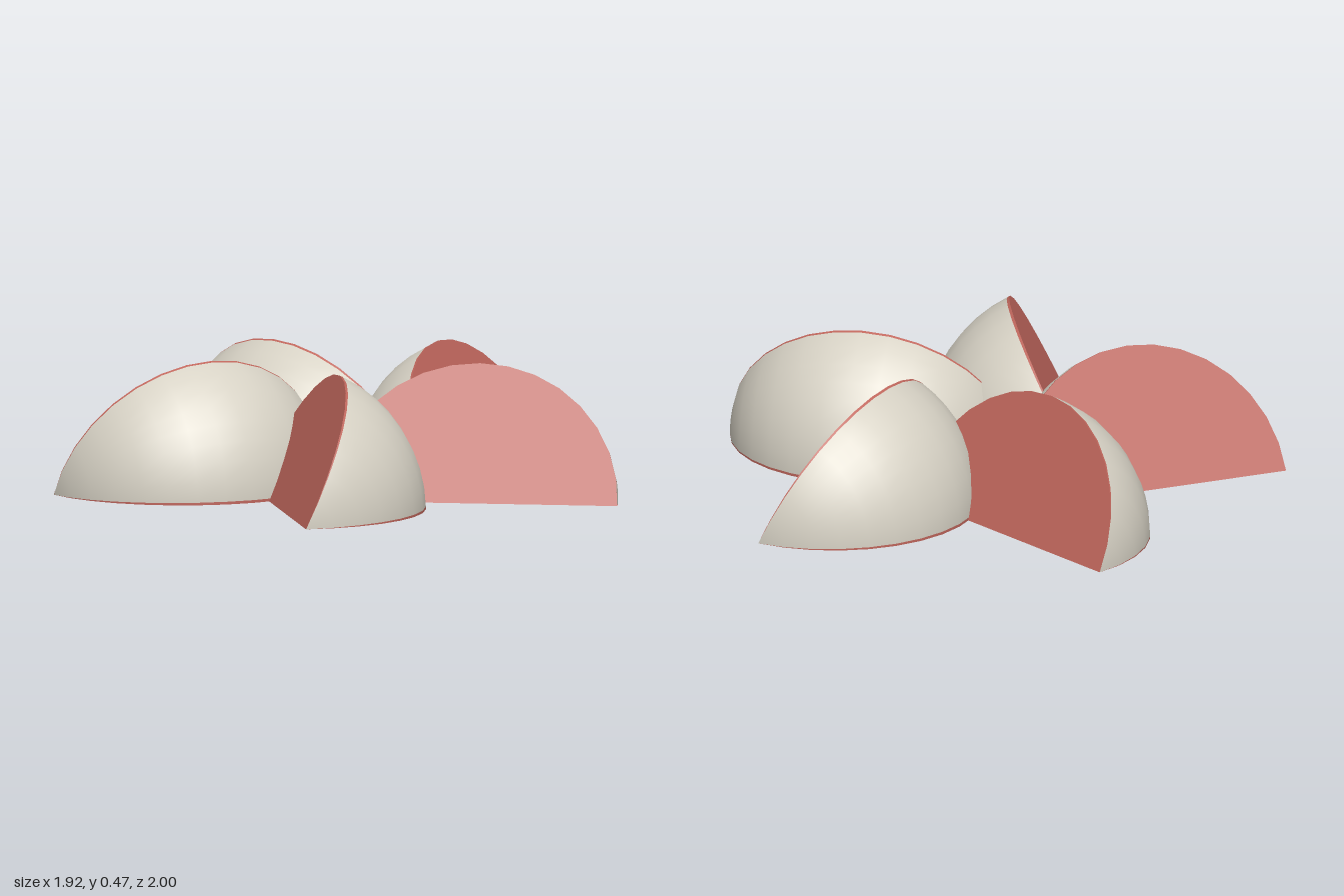
import * as THREE from 'three';
import { mergeGeometries } from 'three/addons/utils/BufferGeometryUtils.js';

const RADIUS = 0.515;
const ANGLE = THREE.MathUtils.degToRad(65); // opening of each wedge
const RIM = THREE.MathUtils.degToRad(1.1);  // narrow coloured edge of the shell
const SEGMENTS = 16;

// Band of a sphere around the z axis, from one angle above the floor to another
function band(from, to, columns) {
  return new THREE.SphereGeometry(RADIUS, columns, SEGMENTS, Math.PI + from, to - from)
    .rotateX(Math.PI / 2);
}

// Half disc hinged on the z axis, facing up or down
function halfDisc(up) {
  return new THREE.CircleGeometry(RADIUS, SEGMENTS, -Math.PI / 2, Math.PI)
    .rotateX(up ? -Math.PI / 2 : Math.PI / 2);
}

export function createModel() {
  const model = new THREE.Group();
  model.name = 'wedgeRing';

  const shellMaterial = new THREE.MeshStandardMaterial({ color: 0xd6d1c4 });
  shellMaterial.name = 'warm grey';
  const cutMaterial = new THREE.MeshStandardMaterial({ color: 0xbf665c });
  cutMaterial.name = 'brick red';

  // Rounded outside, and the flat cuts with their thin rims
  const shell = band(RIM, ANGLE - RIM, 8);
  const rims = mergeGeometries([band(0, RIM, 1), band(ANGLE - RIM, ANGLE, 1)]);
  const leaningCut = halfDisc(true).rotateZ(ANGLE);
  const base = halfDisc(false);

  const parts = [
    ['shell', shell, shellMaterial],
    ['rims', rims, cutMaterial],
    ['leaningCut', leaningCut, cutMaterial],
    ['base', base, cutMaterial],
  ];

  // Five equal wedges turned around a shared centre
  for (let i = 0; i < 5; i++) {
    const wedge = new THREE.Group();
    wedge.name = `wedge${i + 1}`;
    for (const [name, geometry, material] of parts) {
      const mesh = new THREE.Mesh(geometry, material);
      mesh.name = name;
      mesh.position.set(-0.338, 0, 0.48);
      wedge.add(mesh);
    }
    wedge.position.set(0.088, 0, 0.005);
    wedge.rotation.y = (i * Math.PI * 2) / 5;
    model.add(wedge);
  }
  return model;
}
